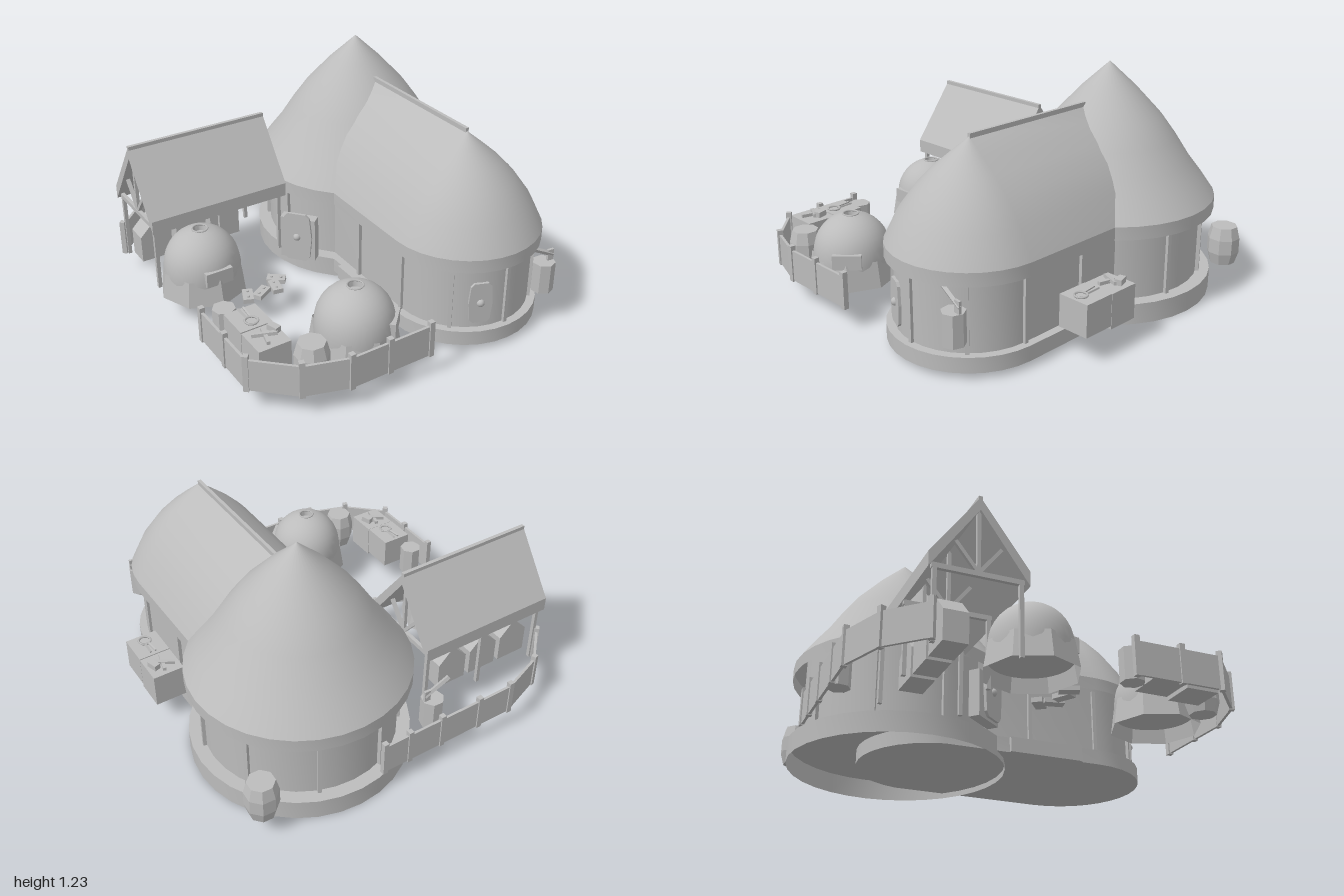
import * as THREE from 'three';
import { toCreasedNormals } from 'three/addons/utils/BufferGeometryUtils.js';

const clay = new THREE.MeshStandardMaterial({ color: 0xbcbcbc, side: THREE.DoubleSide });
clay.name = 'plain grey';

const V2 = (p) => new THREE.Vector2(p[0], p[1]);

export function createModel() {
  const model = new THREE.Group();
  model.name = 'village';

  function add(name, geo, x = 0, y = 0, z = 0, ry = 0, parent = model) {
    const m = new THREE.Mesh(geo, clay);
    m.name = name;
    m.position.set(x, y, z);
    m.rotation.y = ry;
    parent.add(m);
    return m;
  }
  const box = (name, w, h, d, x, y, z, ry = 0, parent = model) =>
    add(name, new THREE.BoxGeometry(w, h, d), x, y, z, ry, parent);
  const flat = (g) => toCreasedNormals(g, 0.1);
  const group = (name, x, y, z, ry = 0) => {
    const g = new THREE.Group();
    g.name = name;
    g.position.set(x, y, z);
    g.rotation.y = ry;
    model.add(g);
    return g;
  };
  // Beam between two points
  function beam(name, a, b, t, parent = model) {
    const p = new THREE.Vector3(...a), q = new THREE.Vector3(...b);
    const m = box(name, t, t, p.distanceTo(q), 0, 0, 0, 0, parent);
    m.position.copy(p).lerp(q, 0.5);
    m.quaternion.setFromUnitVectors(new THREE.Vector3(0, 0, 1), q.sub(p).normalize());
  }
  // Revolved profile; stretch pulls the back half towards -z into a stadium plan
  function lathe(points, seg = 32, stretch = 0, crease = 0.45) {
    const g = new THREE.LatheGeometry(points.map(V2), seg);
    const pos = g.attributes.position, n = points.length;
    for (let i = 0; i < pos.count; i++) {
      const phi = (Math.floor(i / n) / seg) * Math.PI * 2;
      if (Math.cos(phi) < -1e-6) pos.setZ(i, pos.getZ(i) - stretch);
    }
    return toCreasedNormals(g, crease);
  }

  // Round hut
  const hx = 0.39, hz = -0.42;
  add('roundBase', lathe([[0.577, 0], [0.577, 0.11], [0, 0.11]]), hx, 0, hz);
  add('roundWall', lathe([[0.507, 0.11], [0.507, 0.6]]), hx, 0, hz);
  add('roundRoof', lathe([[0.577, 0.46], [0.577, 0.53], [0.507, 0.63], [0.437, 0.72],
    [0.36, 0.84], [0.28, 0.95], [0.145, 1.095], [0, 1.23]]), hx, 0, hz);
  for (let i = 0; i < 9; i++) {
    const a = (79 + i * 40) * Math.PI / 180;
    box('roundPost', 0.02, 0.35, 0.025, hx + Math.sin(a) * 0.512, 0.285, hz + Math.cos(a) * 0.512, a);
  }

  // Long hut with a rounded front
  const lz = 0.575, len = 0.79;
  add('longBase', lathe([[0, 0.03], [0.413, 0.03], [0.413, 0.11], [0, 0.11]], 32, len), hx, 0, lz);
  add('longWall', lathe([[0.37, 0.11], [0.37, 0.58]], 32, len), hx, 0, lz);
  add('longRoof', lathe([[0.413, 0.46], [0.413, 0.53], [0.345, 0.67], [0.255, 0.795],
    [0.175, 0.88], [0.09, 0.955], [0, 1.03]], 32, len, 0.4), hx, 0, lz);
  box('ridgeBeam', 0.018, 0.025, 0.8, hx, 1.034, 0.175);
  for (let i = -2; i <= 2; i++) {
    const a = i * Math.PI / 4;
    box('longPost', 0.02, 0.35, 0.02, hx + Math.sin(a) * 0.375, 0.285, lz + Math.cos(a) * 0.375, a);
  }
  for (const s of [-1, 1]) box('longPost', 0.02, 0.35, 0.02, hx + s * 0.375, 0.285, 0.19);
  box('sideStep', 0.07, 0.08, 0.41, -0.003, 0.07, 0.265);

  // Shields
  function shield(x, y, z, ry, w, h) {
    const g = group('shield', x, y, z, ry);
    const o = [[0.3, 0.5], [0.43, 0.42], [0.5, 0], [0.43, -0.42], [0.3, -0.5]];
    const pts = [...o, ...o.slice().reverse().map(([a, b]) => [-a, b])];
    add('shieldBoard', new THREE.ExtrudeGeometry(new THREE.Shape(pts.map(([a, b]) => V2([a * w, b * h]))),
      { depth: 0.015, bevelEnabled: false }), 0, 0, 0, 0, g);
    add('shieldBoss', new THREE.SphereGeometry(0.022, 12, 8), 0, 0, 0.01, 0, g);
  }
  shield(0.25, 0.26, 0.915, -0.38, 0.125, 0.23);
  shield(-0.19, 0.265, -0.115, -0.88, 0.17, 0.29);
  box('shieldStand', 0.2, 0.25, 0.06, -0.16, 0.24, -0.145, -0.88);

  // Open shelter
  const sx = -0.577, sz = -0.495;
  const chevron = [[-0.24, 0.455], [0, 0.795], [0.24, 0.455], [0.24, 0.53], [0, 0.86], [-0.24, 0.53]];
  const roof = new THREE.ExtrudeGeometry(new THREE.Shape(chevron.map(V2)), { depth: 0.795, bevelEnabled: false });
  roof.translate(0, 0, -0.3975);
  add('shelterRoof', roof, sx, 0, sz, Math.PI / 2);
  box('shelterRidge', 0.795, 0.02, 0.02, sx, 0.857, sz);
  for (const x of [-0.95, -0.57, -0.21]) {
    for (const s of [-1, 1]) {
      box('shelterPost', 0.02, 0.37, 0.02, x, 0.295, sz + s * 0.205);
      beam('trussStrut', [x, 0.48, sz], [x, 0.62, sz + s * 0.11], 0.018);
    }
    box('tieBeam', 0.02, 0.025, 0.44, x, 0.475, sz);
    box('kingPost', 0.018, 0.33, 0.018, x, 0.635, sz);
  }
  // Peaked stores under the shelter
  const peak = new THREE.Shape([[-0.09, 0], [0.09, 0], [0.09, 0.15], [0, 0.24], [-0.09, 0.15]].map(V2));
  for (const x of [-0.85, -0.64, -0.43])
    add('peakedStore', new THREE.ExtrudeGeometry(peak, { depth: 0.12, bevelEnabled: false }), x, 0.135, -0.65);

  // Domed ovens
  function oven(x, z, ry) {
    const g = group('oven', x, 0, z);
    const dome = [[0, 0.2], [0.2, 0.2], [0.205, 0.26]];
    for (let i = 1; i <= 8; i++) {
      const a = i / 8 * 1.37;
      dome.push([0.2 * Math.cos(a), 0.28 + 0.2 * Math.sin(a)]);
    }
    dome.push([0.035, 0.445], [0, 0.445]);
    add('ovenDome', lathe(dome, 32, 0, 0.6), 0, 0, 0, 0, g);
    add('ovenSkirt', flat(new THREE.CylinderGeometry(0.212, 0.235, 0.14, 8, 1, true)), 0, 0.2, 0, 0, g);
    add('ovenVent', new THREE.TorusGeometry(0.04, 0.005, 6, 20).rotateX(Math.PI / 2), 0, 0.477, 0, 0, g);
    box('ovenMouth', 0.15, 0.08, 0.05, Math.sin(ry) * 0.185, 0.285, Math.cos(ry) * 0.185, ry, g);
  }
  oven(-0.755, -0.155, 0);
  oven(-0.37, 0.72, 0.8);

  // Barrels
  for (const [x, z] of [[0.87, -0.86], [-0.67, 0.81]])
    add('barrel', lathe([[0, 0.115], [0.068, 0.115], [0.087, 0.18], [0.087, 0.26], [0.07, 0.325], [0, 0.325]],
      8, 0, 0.1), x, 0, z, 0.35);

  // Chopping stumps with axes
  function stump(x, y, z, axe, ry = 0) {
    const g = group('stump', x, y, z, ry);
    add('stumpBlock', flat(new THREE.CylinderGeometry(0.06, 0.06, 0.165, 7)), 0, 0.083, 0, 0, g);
    if (!axe) return;
    beam('axeHandle', [-0.09, 0.265, 0], [0.05, 0.195, 0], 0.018, g);
    box('axeHead', 0.035, 0.075, 0.014, 0.035, 0.19, 0, 0, g);
  }
  stump(0.66, 0.197, 0.925, true, -0.1);
  stump(-0.11, 0.197, -0.88, true, -0.05);
  stump(-0.865, 0.125, 0.305, false);

  // Work tables carrying a hammer and tongs
  function tables(x, zHammer, zTongs) {
    const a = group('hammerTable', x, 0, zHammer), b = group('tongsTable', x, 0, zTongs);
    box('tableBlock', 0.172, 0.185, 0.17, 0, 0.222, 0, 0, a);
    box('tableBlock', 0.172, 0.17, 0.175, 0, 0.232, 0, 0, b);
    beam('hammerHandle', [-0.06, 0.325, -0.035], [0.05, 0.335, 0.02], 0.018, a);
    box('hammerHead', 0.035, 0.03, 0.06, 0.05, 0.34, -0.015, 0.3, a);
    beam('chisel', [-0.02, 0.325, 0.06], [0.01, 0.325, -0.06], 0.018, a);
    add('tongsJaw', new THREE.TorusGeometry(0.032, 0.006, 5, 16).rotateX(Math.PI / 2), 0, 0.323, 0.035, 0, b);
    for (const s of [-1, 1])
      beam('tongsArm', [s * 0.01, 0.323, 0.005], [s * 0.014, 0.328, -0.075], 0.009, b);
  }
  tables(0.897, 0.133, 0.308);
  tables(-0.823, 0.655, 0.478);

  // Loose tiles on the ground
  for (const [x, z, r] of [[-0.625, 0.1, -0.4], [-0.55, 0.11, -1.05], [-0.46, 0.1, -0.2], [-0.42, 0.04, 0.9]]) {
    const g = group('tile', x, 0.15, z, r);
    box('tileSlab', 0.055, 0.025, 0.1, 0, 0, 0, 0, g);
    for (const s of [-1, 1])
      add('tileStud', new THREE.CylinderGeometry(0.008, 0.008, 0.008, 8), 0, 0.015, s * 0.025, 0, g);
  }

  // Fences
  function fence(points) {
    points.forEach(([x, z], i) => {
      const [nx, nz] = points[i + 1] || points[i - 1];
      const ry = Math.atan2(-(nz - z), nx - x);
      box('fencePost', 0.028, 0.2, 0.028, x, 0.213, z, ry);
      if (i < points.length - 1)
        box('fencePanel', Math.hypot(nx - x, nz - z), 0.17, 0.014, (x + nx) / 2, 0.203, (z + nz) / 2, ry);
    });
  }
  fence([[-0.97, -0.71], [-0.8, -0.88], [-0.555, -0.97], [-0.35, -0.97], [-0.11, -0.97], [0.09, -0.97], [0.24, -0.97]]);
  fence([[-0.97, 0.27], [-0.97, 0.51], [-0.97, 0.72], [-0.78, 0.9], [-0.555, 0.973], [-0.34, 0.973], [-0.1, 0.973]]);

  return model;
}
